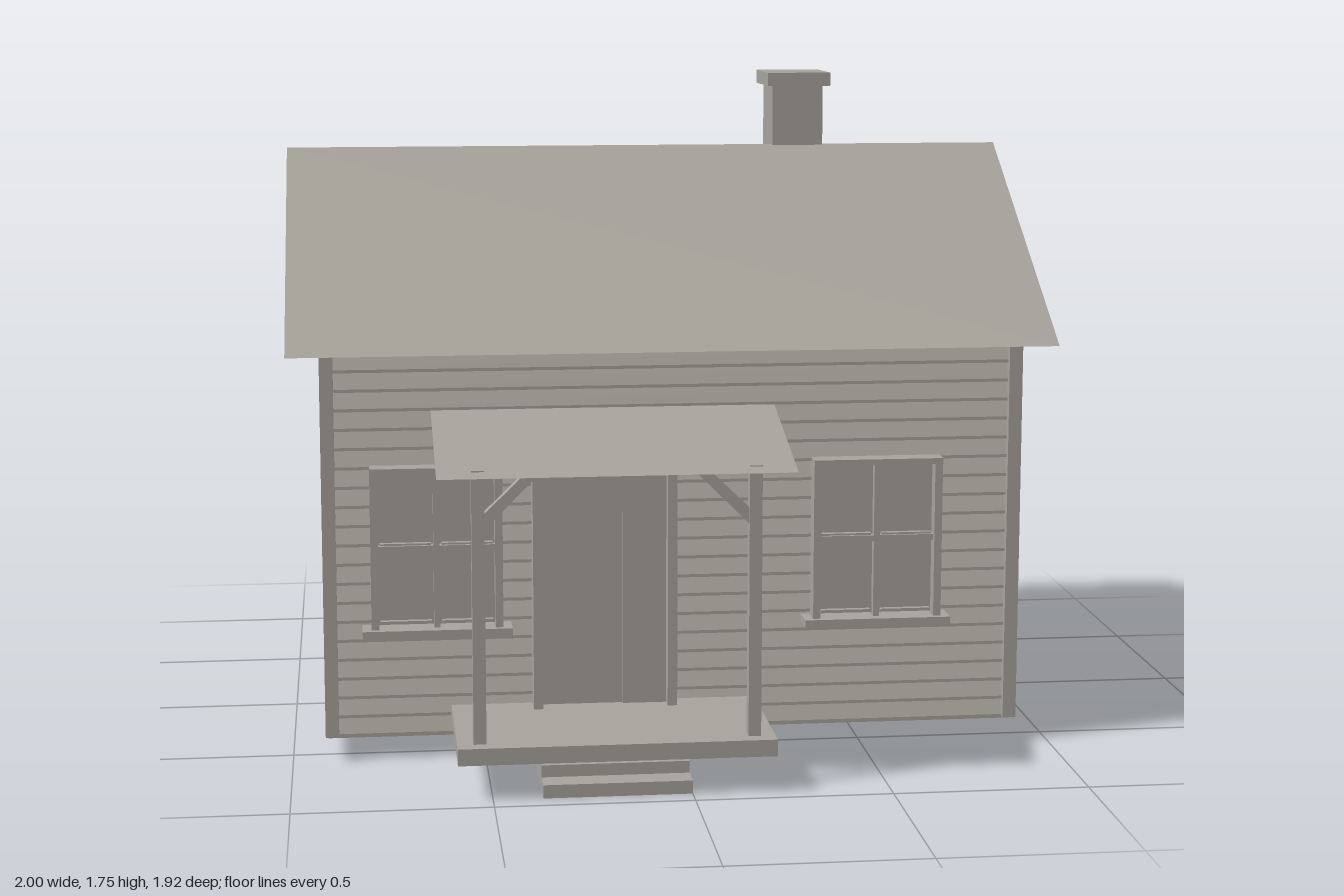
import * as THREE from 'three';

export function createModel() {
  const house = new THREE.Group();
  house.name = 'cottage';
  const grey = new THREE.MeshStandardMaterial({ color: 0xa8a49c });
  grey.name = 'warm grey';
  const sheetGrey = grey;
  sheetGrey.side = THREE.DoubleSide;

  const add = (name, geometry, parent = house) => {
    const mesh = new THREE.Mesh(geometry, grey);
    mesh.name = name;
    parent.add(mesh);
    return mesh;
  };
  // Box given by its limits on each axis
  const box = (name, x0, x1, y0, y1, z0, z1, parent) => {
    const mesh = add(name, new THREE.BoxGeometry(x1 - x0, y1 - y0, z1 - z0), parent);
    mesh.position.set((x0 + x1) / 2, (y0 + y1) / 2, (z0 + z1) / 2);
    return mesh;
  };
  // Profile of [x, y] points extruded along z
  const extrude = (points, depth) => new THREE.ExtrudeGeometry(
    new THREE.Shape(points.map(([x, y]) => new THREE.Vector2(x, y))),
    { depth, bevelEnabled: false });
  // Profile of [z, y] points extruded along x
  const extrudeX = (name, points, x0, x1, parent) => {
    const geometry = extrude(points.map(([z, y]) => [-z, y]), x1 - x0);
    geometry.rotateY(Math.PI / 2).translate(x0, 0, 0);
    return add(name, geometry, parent);
  };
  // Thin sloping sheet between two [z, y] edges, upper edge first
  const sheet = (name, x0, x1, [z0, y0], [z1, y1]) => {
    const geometry = new THREE.BufferGeometry();
    geometry.setAttribute('position', new THREE.Float32BufferAttribute(
      [x0, y0, z0, x0, y1, z1, x1, y1, z1, x1, y0, z0], 3));
    geometry.setIndex(z1 > z0 ? [0, 1, 2, 0, 2, 3] : [0, 2, 1, 0, 3, 2]);
    geometry.computeVertexNormals();
    return add(name, geometry);
  };

  // Walls and corner boards
  box('walls', -0.908, 0.908, 0.05, 1.07, -0.86, 0.525);
  for (const side of [-1, 1]) {
    const xs = [side * 0.88, side * 0.915].sort((a, b) => a - b);
    box('cornerBoard', xs[0], xs[1], 0.064, 1.07, 0.525, 0.57);
  }

  // Overlapping clapboards on the front
  const siding = new THREE.Group();
  siding.name = 'siding';
  house.add(siding);
  const rows = 20, pitch = 1.01 / rows;
  for (let i = 0; i < rows; i++) {
    const y = 0.06 + i * pitch;
    extrudeX('clapboard', [[0.52, y], [0.552, y], [0.552, y + 0.008], [0.534, y + pitch], [0.52, y + pitch]],
      -0.88, 0.88, siding);
  }

  // Main roof and gable ends
  sheet('frontRoof', -1, 1, [-0.172, 1.546], [0.617, 1.07]);
  sheet('backRoof', -1, 1, [-0.172, 1.546], [-0.962, 1.07]);
  for (const side of [-1, 1]) {
    const gable = new THREE.ShapeGeometry(new THREE.Shape([
      new THREE.Vector2(-0.775, 1.07), new THREE.Vector2(0.775, 1.07), new THREE.Vector2(0, 1.535)]));
    const mesh = add('gable', gable);
    mesh.rotation.y = side * Math.PI / 2;
    mesh.position.set(side * 0.998, 0, -0.168);
  }

  // Chimney
  box('chimney', 0.362, 0.505, 1.4, 1.71, -0.34, -0.167);
  box('chimneyCap', 0.345, 0.523, 1.71, 1.747, -0.36, -0.147);

  // Two four-pane windows with sills
  for (const x of [-0.622, 0.53]) {
    const win = new THREE.Group();
    win.name = 'window';
    win.position.x = x;
    house.add(win);
    box('pane', -0.16, 0.16, 0.36, 0.77, 0.53, 0.562, win);
    for (const s of [-1, 1]) {
      box('jamb', s * 0.16 - 0.01, s * 0.16 + 0.01, 0.355, 0.765, 0.53, 0.6, win);
      for (const y of [0.46, 0.665]) {
        box('sash', s * 0.08 - 0.066, s * 0.08 + 0.066, y - 0.095, y - 0.088, 0.55, 0.578, win);
      }
    }
    box('head', -0.17, 0.17, 0.762, 0.778, 0.53, 0.605, win);
    box('mullion', -0.008, 0.008, 0.355, 0.762, 0.53, 0.585, win);
    box('crossbar', -0.15, 0.15, 0.556, 0.572, 0.53, 0.585, win);
    box('sill', -0.193, 0.193, 0.335, 0.355, 0.53, 0.615, win);
  }

  // Door with frame
  box('door', -0.35, -0.14, 0.135, 0.815, 0.53, 0.566);
  box('doorSidePanel', -0.14, 0, 0.135, 0.785, 0.53, 0.575);
  box('doorJamb', -0.375, -0.35, 0.135, 0.815, 0.53, 0.612);
  box('doorJamb', -0.025, 0, 0.135, 0.815, 0.53, 0.612);
  box('lintel', -0.375, 0, 0.812, 0.84, 0.53, 0.612);

  // Porch deck and steps
  box('deck', -0.587, 0.213, 0.093, 0.136, 0.525, 0.955);
  extrudeX('steps', [[0.685, 0], [0.944, 0], [0.944, 0.034], [0.877, 0.034], [0.877, 0.065],
    [0.81, 0.065], [0.81, 0.094], [0.685, 0.094]], -0.375, 0);

  // Porch posts with diagonal braces
  for (const side of [-1, 1]) {
    const cx = -0.185 + side * 0.345;
    box('post', cx - 0.016, cx + 0.016, 0.136, 0.828, 0.882, 0.917);
    const inner = cx - side * 0.016;
    const points = [[0, 0.68], [0.135, 0.815], [0.098, 0.815], [0, 0.72]]
      .map(([x, y]) => [inner - side * x, y]);
    const brace = add('brace', extrude(points, 0.028));
    brace.position.z = 0.886;
  }
  sheet('porchRoof', -0.632, 0.26, [0.555, 0.92], [0.955, 0.815]);

  return house;
}
